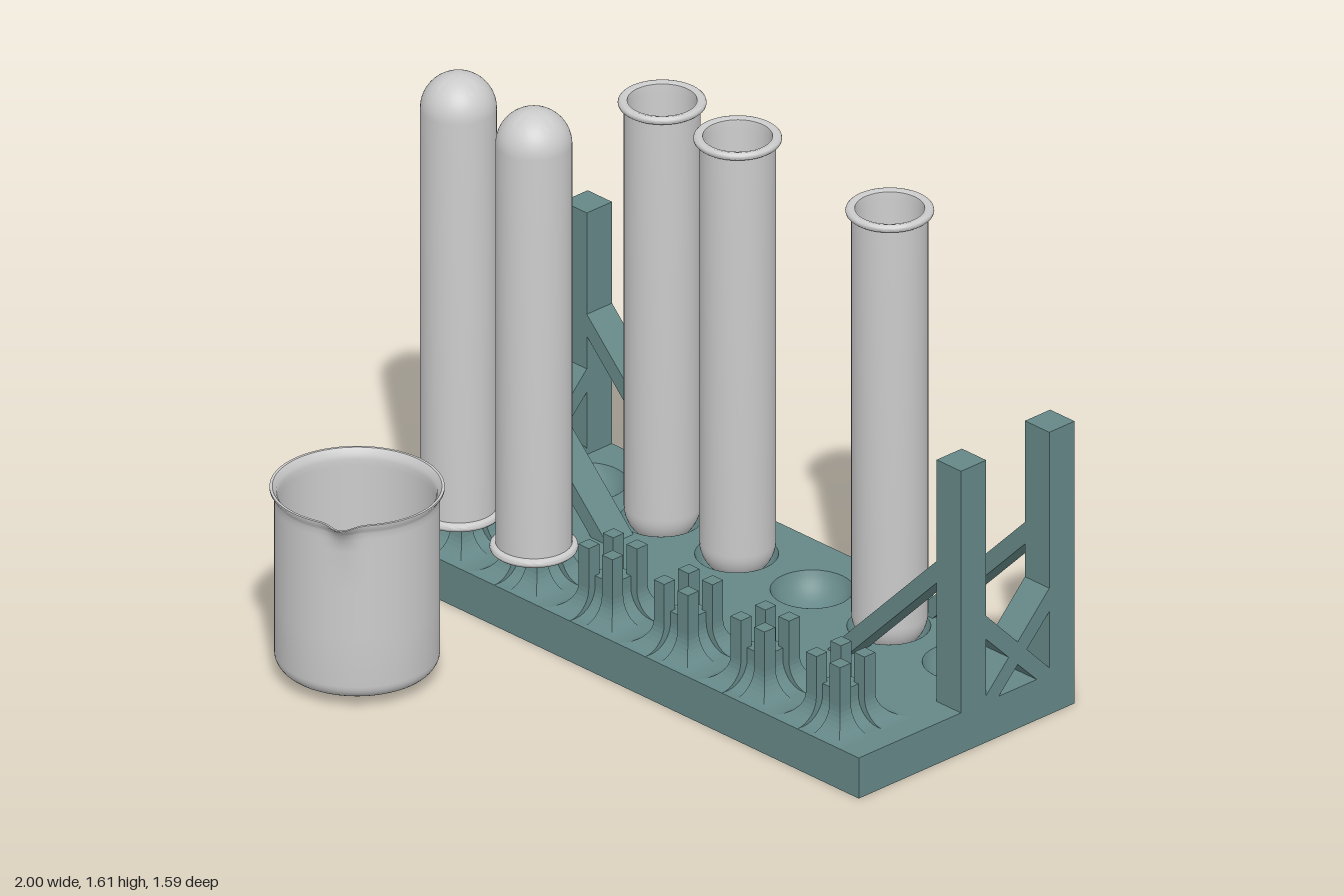
import * as THREE from 'three';
import { toCreasedNormals } from 'three/addons/utils/BufferGeometryUtils.js';

const glass = new THREE.MeshStandardMaterial({ color: 0xcccccc });
const rackMat = new THREE.MeshStandardMaterial({ color: 0x668888, side: THREE.DoubleSide });
const redMat = new THREE.MeshStandardMaterial({ color: 0x4a0c0c, side: THREE.DoubleSide });
const brownMat = new THREE.MeshStandardMaterial({ color: 0x5a3d1a });

const COLUMNS = [-0.78, -0.47, -0.16, 0.15, 0.465, 0.775];
const HOLE_Z = -0.58, PEG_Z = -0.09, DECK = 0.13;

function add(parent, name, geometry, material, x = 0, y = 0, z = 0) {
  const mesh = new THREE.Mesh(geometry, material);
  mesh.name = name;
  mesh.position.set(x, y, z);
  parent.add(mesh);
  return mesh;
}

const box = (parent, name, x0, x1, y0, y1, z0, z1) =>
  add(parent, name, new THREE.BoxGeometry(x1 - x0, y1 - y0, z1 - z0), rackMat,
    (x0 + x1) / 2, (y0 + y1) / 2, (z0 + z1) / 2);

function lathe(points, segments = 48) {
  return new THREE.LatheGeometry(points.map(p => new THREE.Vector2(...p)), segments);
}

// Points of an arc about (cx, cy), angles in degrees
function arc(cx, cy, r, from, to, n) {
  return Array.from({ length: n + 1 }, (_, i) => {
    const a = THREE.MathUtils.degToRad(from + (to - from) * i / n);
    return [Math.max(0, cx + r * Math.cos(a)), cy + r * Math.sin(a)];
  });
}

function prism(points, depth) {
  return new THREE.ExtrudeGeometry(new THREE.Shape(points.map(p => new THREE.Vector2(...p))),
    { depth, bevelEnabled: false });
}

// Stack of rectangles [x0, x1, z0, z1, y] joined from bottom to top
function rectLoft(sections) {
  const rings = sections.map(([x0, x1, z0, z1, y]) => [[x0, y, z0], [x0, y, z1], [x1, y, z1], [x1, y, z0]]);
  const pos = [];
  const quad = (a, b, c, d) => pos.push(...a, ...b, ...c, ...a, ...c, ...d);
  for (let k = 0; k + 1 < rings.length; k++) {
    for (let i = 0; i < 4; i++) {
      const j = (i + 1) % 4;
      quad(rings[k][i], rings[k][j], rings[k + 1][j], rings[k + 1][i]);
    }
  }
  quad(...rings[rings.length - 1]);
  const g = new THREE.BufferGeometry();
  g.setAttribute('position', new THREE.Float32BufferAttribute(pos, 3));
  g.computeVertexNormals();
  return g;
}

// Deck with round-bottomed wells
function buildBase(rack) {
  box(rack, 'baseFloor', -1, 1, 0, 0.04, -0.8, 0.055);
  const plate = new THREE.Shape([[-1, -0.055], [1, -0.055], [1, 0.8], [-1, 0.8]].map(p => new THREE.Vector2(...p)));
  for (const x of COLUMNS) {
    plate.holes.push(new THREE.Path().absarc(x, -HOLE_Z, 0.12, 0, Math.PI * 2, true));
  }
  const g = new THREE.ExtrudeGeometry(plate, { depth: DECK - 0.04, bevelEnabled: false, curveSegments: 40 });
  add(rack, 'basePlate', g.rotateX(-Math.PI / 2), rackMat, 0, 0.04, 0);
  const well = lathe(arc(0, 0.17, 0.1265, -90, -18.4, 10), 40);
  COLUMNS.forEach(x => add(rack, 'well', well, rackMat, x, 0, HOLE_Z));
}

// Posts, sloping braces and crossed braces of one end
function buildEnd(rack, side) {
  const end = new THREE.Group();
  end.name = side > 0 ? 'leftEnd' : 'rightEnd';
  const [x0, x1] = side > 0 ? [0.9, 1] : [-1, -0.9];
  for (const z of [-0.8, -0.45]) {
    box(end, 'post', x0, x1, DECK, 0.905, z, z + 0.1);
    const pts = [[0.45, DECK], [0.52, DECK], [0.9, 0.51], [0.9, 0.58]].map(([x, y]) => [side * x, y]);
    add(end, 'slopingBrace', prism(pts, 0.1), rackMat, 0, 0, z);
  }
  // Profile runs along -z after the turn, extruded along x
  const bar = [[0.45, 0.33], [0.65, DECK], [0.7, DECK], [0.7, 0.15], [0.45, 0.405]];
  for (const flip of [false, true]) {
    const pts = bar.map(([d, y]) => [flip ? 1.15 - d : d, y]);
    add(end, 'crossBrace', prism(pts, 0.1).rotateY(Math.PI / 2), rackMat, x0, 0, 0);
  }
  rack.add(end);
}

// Flared drying peg: four corner prongs around a lower core
function buildPeg(rack, x) {
  const peg = new THREE.Group();
  peg.name = 'dryingPeg';
  const slot = 0.027;
  const flare = Array.from({ length: 9 }, (_, i) => {
    const a = i / 8 * Math.PI / 2;
    return [0.145 - 0.075 * Math.sin(a), 0.205 - 0.075 * Math.cos(a)];
  });
  for (const sx of [-1, 1]) for (const sz of [-1, 1]) {
    const range = (s, w) => (s > 0 ? [slot, w] : [-w, -slot]);
    const sections = [...flare, [0.07, 0.335]].map(([w, y]) => [...range(sx, w), ...range(sz, w), y]);
    add(peg, 'prong', rectLoft(sections), rackMat);
  }
  const core = [...flare, [0.07, 0.24]].map(([w, y]) => [0.025 - w, w - 0.025, 0.025 - w, w - 0.025, y]);
  add(peg, 'pegCore', rectLoft(core), rackMat);
  peg.position.set(x, 0, PEG_Z);
  rack.add(peg);
}

// Test tube standing on its round end, y = 0 to 1.41
const tubeGeometry = toCreasedNormals(lathe([
  ...arc(0, 0.11, 0.11, -90, 0, 12), [0.11, 1.385],
  ...arc(0.115, 1.398, 0.012, -90, 90, 6), [0.1, 1.405],
  [0.098, 1.38], ...arc(0, 0.11, 0.098, 0, -90, 12),
]), 0.8);

function buildTube(parent, name, x, y, z, inverted) {
  const tube = new THREE.Group();
  tube.name = name;
  add(tube, 'tubeGlass', tubeGeometry, glass);
  tube.position.set(x, y, z);
  if (inverted) tube.rotation.x = Math.PI;
  parent.add(tube);
  return tube;
}

// Beaker with the rim pulled out into a pouring spout
function buildBeaker(parent) {
  const beaker = new THREE.Group();
  beaker.name = 'beaker';
  const wall = [0.2, 0.35, 0.48, 0.5, 0.52, 0.54, 0.555];
  const g = lathe([
    [0, 0], [0.19, 0], ...arc(0.19, 0.047, 0.047, -80, 0, 6),
    ...wall.slice(0, -1).map(y => [0.237, y]), [0.24, 0.55], [0.25, 0.565], [0.25, 0.571], [0.242, 0.571],
    [0.23, 0.555], ...wall.slice(0, -1).reverse().map(y => [0.227, y]),
    ...arc(0.187, 0.052, 0.04, 0, -90, 6), [0, 0.012],
  ], 128);
  const p = g.attributes.position, spout = Math.atan2(0.21, 0.155);
  for (let i = 0; i < p.count; i++) {
    const x = p.getX(i), z = p.getZ(i);
    const t = THREE.MathUtils.clamp((p.getY(i) - 0.47) / 0.1, 0, 1);
    const r = Math.hypot(x, z);
    if (t === 0 || r === 0) continue;
    const d = Math.atan2(z, x) - spout;
    const k = 1 + 0.04 * t * t * Math.exp(-((d / 0.15) ** 2)) / r;
    p.setX(i, x * k);
    p.setZ(i, z * k);
  }
  add(beaker, 'beakerGlass', toCreasedNormals(g, 0.8), glass);
  add(beaker, 'beakerLiquid', new THREE.CylinderGeometry(0.226, 0.226, 0.16, 64), brownMat, 0, 0.13, 0);
  beaker.position.set(-0.555, 0.03, 0.543);
  parent.add(beaker);
}

export function createModel() {
  const model = new THREE.Group();
  model.name = 'testTubeRackSet';

  const rack = new THREE.Group();
  rack.name = 'rack';
  buildBase(rack);
  buildEnd(rack, 1);
  buildEnd(rack, -1);
  COLUMNS.forEach(x => buildPeg(rack, x));
  model.add(rack);

  // Upright tubes with red residue in the round bottom
  const residue = lathe(arc(0, 0.11, 0.096, -62, 0, 8));
  const drop = lathe(arc(0, 0.11, 0.096, -90, -77, 3), 24);
  for (const i of [1, 2, 4]) {
    const tube = buildTube(model, 'uprightTube', COLUMNS[i] + 0.004, 0.066, HOLE_Z, false);
    add(tube, 'residue', residue, redMat);
    if (i !== 4) add(tube, 'residueDrop', drop, redMat);
  }

  // Tubes drying upside down on the pegs
  for (const x of [-0.793, -0.483]) buildTube(model, 'invertedTube', x, 1.61, PEG_Z + 0.002, true);

  buildBeaker(model);
  return model;
}
